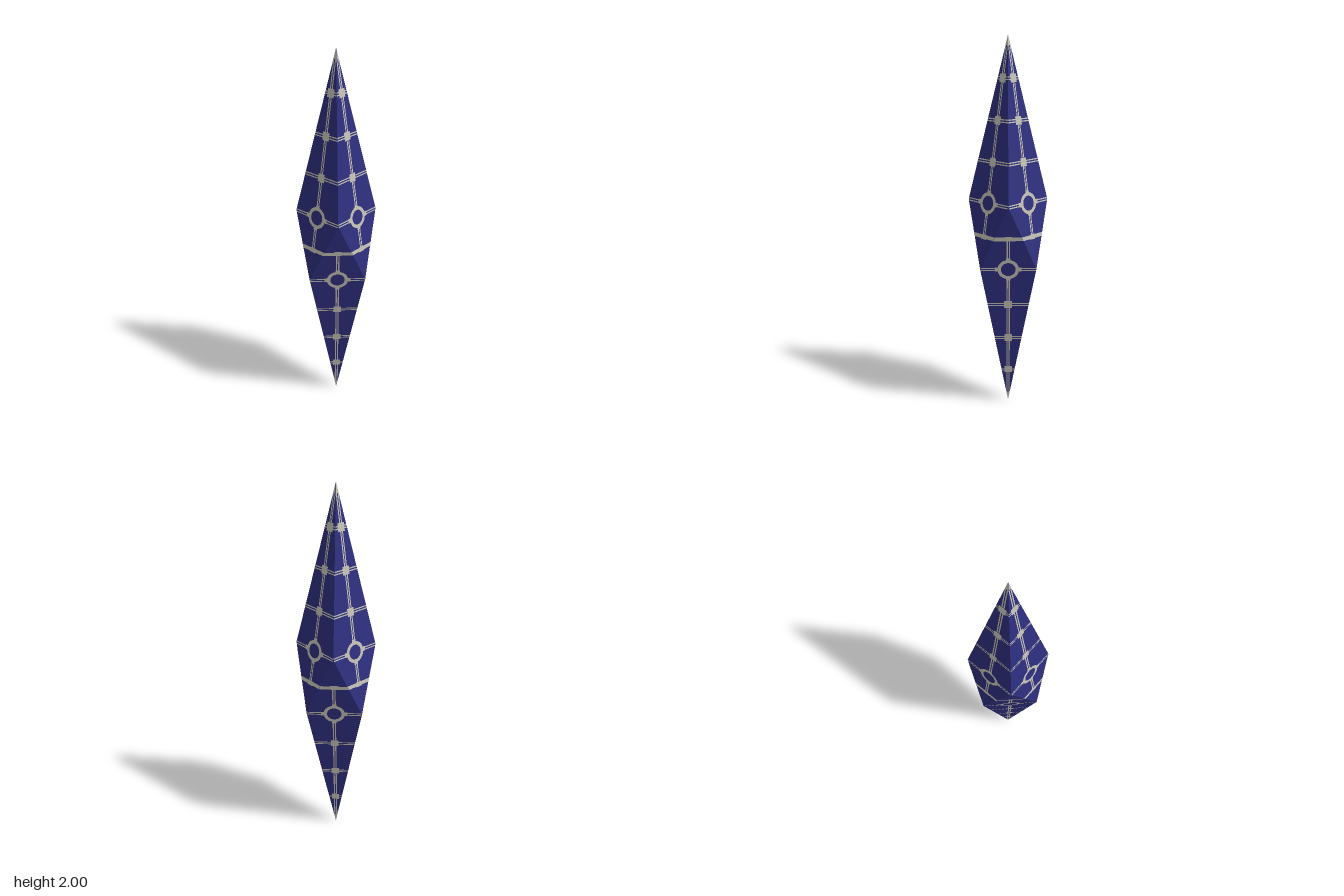
import * as THREE from 'three';

const R = 0.206;            // radius of both corner rings
const LOW = 0.8284;         // height of a facet's side corners
const HIGH = 1.1716;        // height of a facet's far corner
const TILT = Math.atan2(R, HIGH);
const C = Math.cos(TILT);
const SIDE = R * Math.SQRT1_2;

const navy = new THREE.MeshStandardMaterial({ color: 0x2e2e7e });
navy.name = 'navy';
navy.flatShading = true;
const silver = new THREE.MeshStandardMaterial({ color: 0xc4c2b6 });
silver.name = 'silver';

const poly = (pts) => new THREE.Shape(pts.map(([x, y]) => new THREE.Vector2(x, y / C)));
const rect = (x0, x1, y0, y1) => poly([[x0, y0], [x1, y0], [x1, y1], [x0, y1]]);

// half width of the kite facet at a height
const half = (y) => (y < LOW ? SIDE * y / LOW : SIDE * (HIGH - y) / (HIGH - LOW));

// cross line from x = inner to the facet edge, on both sides
function line(y0, y1, inner = 0) {
  return [1, -1].map((s) => poly([
    [s * inner, y0], [s * half(y0), y0], [s * half(y1), y1], [s * inner, y1],
  ]));
}

function inlayShapes() {
  const shapes = [];
  // silver tip
  shapes.push(poly([[0, 0], [half(0.05), 0.05], [-half(0.05), 0.05]]));
  // double centre line, interrupted by the ring
  for (const [a, b] of [[0.05, LOW - 0.05], [LOW + 0.05, 1]]) {
    shapes.push(rect(0.0025, 0.009, a, b), rect(-0.009, -0.0025, a, b));
  }
  // double cross lines with square studs
  for (let k = 1; k <= 4; k++) {
    const y = LOW * k / 4;
    const inner = k === 4 ? 0.048 : 0;
    shapes.push(...line(y - 0.009, y - 0.003, inner), ...line(y + 0.003, y + 0.009, inner));
    if (k < 4) shapes.push(rect(-0.021, 0.021, y - 0.021, y + 0.021));
  }
  // solid band near the far corner
  shapes.push(...line(0.99, 1.01), rect(-0.018, 0.018, 0.988, 1.014));
  // ring with four studs
  const ring = new THREE.Shape().absarc(0, LOW / C, 0.056, 0, Math.PI * 2);
  ring.holes.push(new THREE.Path().absarc(0, LOW / C, 0.038, 0, Math.PI * 2, true));
  shapes.push(ring);
  for (const [x, y] of [[0.057, 0], [-0.057, 0], [0, 0.053], [0, -0.053]]) {
    shapes.push(rect(x - 0.012, x + 0.012, LOW + y - 0.012, LOW + y + 0.012));
  }
  return shapes;
}

export function createModel() {
  const model = new THREE.Group();
  model.name = 'crystal';
  const kite = new THREE.ShapeGeometry(poly([[0, 0], [SIDE, LOW], [0, HIGH], [-SIDE, LOW]]));
  const inlay = new THREE.ShapeGeometry(inlayShapes(), 16);

  // four facets meeting at the lower point
  function makeHalf(name) {
    const group = new THREE.Group();
    group.name = name;
    for (let i = 0; i < 4; i++) {
      const turn = new THREE.Group();
      turn.name = 'facet';
      turn.rotation.y = i * Math.PI / 2;
      const face = new THREE.Mesh(kite, navy);
      face.name = 'facetFace';
      const lines = new THREE.Mesh(inlay, silver);
      lines.name = 'facetInlay';
      lines.position.z = 0.001;
      const lean = new THREE.Group();
      lean.name = 'facetPlane';
      lean.rotation.x = TILT;
      lean.add(face, lines);
      turn.add(lean);
      group.add(turn);
    }
    return group;
  }

  const lower = makeHalf('lowerHalf');
  // upper half: flipped over and turned an eighth
  const upper = makeHalf('upperHalf');
  upper.rotation.set(0, Math.PI / 4, Math.PI, 'YXZ');
  upper.position.y = 2;
  model.add(lower, upper);
  return model;
}
